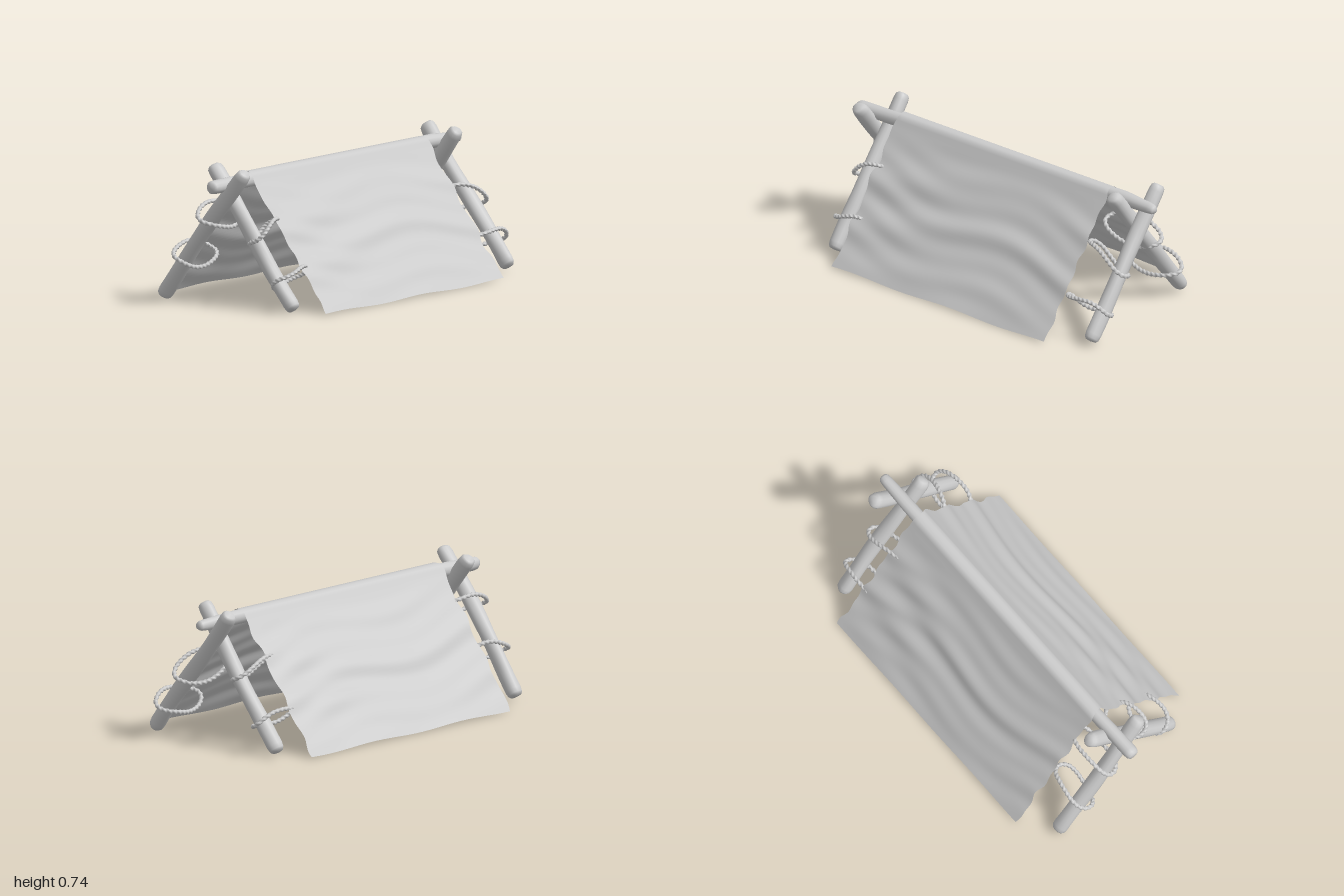
import * as THREE from 'three';
import { mergeVertices } from 'three/addons/utils/BufferGeometryUtils.js';

const material = new THREE.MeshStandardMaterial({ color: 0xcccccc, roughness: 0.9 });
const clothMaterial = new THREE.MeshStandardMaterial({ color: 0xcccccc, roughness: 1, side: THREE.DoubleSide });

// Rough-hewn log between two points, with worn ends and a slight bend
function makeLog(name, from, to, radius, seed, tipScale = 1) {
  const length = from.distanceTo(to);
  const profile = [[0, 0], [0.7, 0.004], [0.92, 0.016], [1, 0.04]];
  for (let i = 1; i < 12; i++) profile.push([1, 0.04 + (length - 0.08) * i / 12]);
  profile.push([tipScale, length - 0.04], [0.9 * tipScale, length - 0.014], [0.65 * tipScale, length - 0.003], [0, length]);
  const geometry = new THREE.LatheGeometry(profile.map(([r, y]) => new THREE.Vector2(r * radius, y)), 14);
  const p = geometry.attributes.position;
  for (let i = 0; i < p.count; i++) {
    const x = p.getX(i), y = p.getY(i), z = p.getZ(i);
    const a = Math.hypot(x, z) > 1e-6 ? Math.atan2(z, x) : 0;
    const k = 1 + 0.05 * Math.sin(3 * a + 7 * y + seed) + 0.04 * Math.sin(2 * a - 13 * y + seed * 2);
    const bend = 0.004 * Math.sin(6 * y + seed);
    p.setXYZ(i, x * k + bend, y, z * k - bend);
  }
  geometry.deleteAttribute('uv');
  geometry.deleteAttribute('normal');
  const welded = mergeVertices(geometry, 1e-5);
  welded.computeVertexNormals();
  const mesh = new THREE.Mesh(welded, material);
  mesh.name = name;
  mesh.position.copy(from);
  mesh.quaternion.setFromUnitVectors(new THREE.Vector3(0, 1, 0), to.clone().sub(from).normalize());
  return mesh;
}

// Twisted rope loop around a leg and through the cloth
function makeRope(name, side, cx, cy, half, z, zHalf, skew) {
  const points = [];
  for (let i = 0; i < 14; i++) {
    const a = i / 14 * Math.PI * 2;
    const across = half * Math.cos(a);
    const along = skew * Math.sin(a) + 0.008 * Math.sin(3 * a + cx * 9);
    points.push(new THREE.Vector3(
      side * (cx + 0.79 * across - 0.61 * along),
      cy + 0.61 * across + 0.79 * along,
      z + zHalf * Math.sin(a)));
  }
  const curve = new THREE.CatmullRomCurve3(points, true);
  const steps = 180, sides = 8, radius = 0.0105;
  const geometry = new THREE.TubeGeometry(curve, steps, radius, sides, true);
  const p = geometry.attributes.position, n = geometry.attributes.normal;
  for (let i = 0; i < p.count; i++) {
    const turn = Math.floor(i / (sides + 1)) / steps * 28;
    const around = (i % (sides + 1)) / sides;
    const bump = radius * 0.22 * Math.cos(2 * Math.PI * (2 * around + turn));
    p.setXYZ(i, p.getX(i) + n.getX(i) * bump, p.getY(i) + n.getY(i) * bump, p.getZ(i) + n.getZ(i) * bump);
  }
  geometry.computeVertexNormals();
  const mesh = new THREE.Mesh(geometry, material);
  mesh.name = name;
  return mesh;
}

// Cloth draped over the ridge, with soft folds and ragged ends
function makeCloth() {
  const half = [[0.03, 0.688], [0.052, 0.655], [0.095, 0.59], [0.18, 0.482], [0.3, 0.326], [0.42, 0.168], [0.543, 0.01]];
  const profile = new THREE.CatmullRomCurve3([
    ...half.slice().reverse().map(([x, y]) => new THREE.Vector3(-x, y, 0)),
    new THREE.Vector3(0, 0.694, 0),
    ...half.map(([x, y]) => new THREE.Vector3(x, y, 0)),
  ]);
  const columns = 96, rows = 48;
  const geometry = new THREE.PlaneGeometry(1, 1, columns, rows);
  const p = geometry.attributes.position;
  for (let i = 0; i < p.count; i++) {
    const u = p.getX(i) + 0.5, v = p.getY(i) * 2;
    const s = Math.abs(u - 0.5) * 2, side = Math.sign(u - 0.5);
    const c = profile.getPointAt(u);
    const fade = Math.sin(Math.PI * THREE.MathUtils.clamp((s - 0.1) / 0.9, 0, 1));
    const fold = fade * (0.006 * Math.sin(21 * s + 2.2 * Math.sin(2.3 * v + side) + side)
      + 0.004 * Math.sin(38 * s - 3 * v + 2 * Math.sin(4 * v)));
    const edge = 0.71 + 0.007 * Math.sin(u * 47 + v) + 0.004 * Math.sin(u * 83);
    const hem = s > 0.9 ? (s - 0.9) * 0.05 * Math.sin(7 * v + side) : 0;
    p.setXYZ(i, c.x + side * 0.79 * fold, c.y + 0.61 * fold + hem, -v * edge);
  }
  geometry.computeVertexNormals();
  const mesh = new THREE.Mesh(geometry, clothMaterial);
  mesh.name = 'cloth';
  return mesh;
}

export function createModel() {
  const group = new THREE.Group();
  group.name = 'tent';

  // Ridge pole, narrower at the back tip
  group.add(makeLog('ridgePole', new THREE.Vector3(0, 0.648, 1), new THREE.Vector3(0, 0.655, -1), 0.037, 1, 0.8));

  // Crossed legs: [name, side of foot, z]
  const legs = [
    ['frontRightLeg', -1, 0.885], ['frontLeftLeg', 1, 0.81],
    ['backRightLeg', -1, -0.832], ['backLeftLeg', 1, -0.908],
  ];
  legs.forEach(([name, side, z], i) => group.add(makeLog(name,
    new THREE.Vector3(side * 0.41, 0.03, z), new THREE.Vector3(side * -0.138, 0.725, z), 0.041, i * 1.7 + 2)));

  group.add(makeCloth());

  // Ropes: [name, side, x, y, half width, z, half length, skew along the leg]
  const ropes = [
    ['frontRightUpperRope', -1, 0.09, 0.475, 0.09, 0.8, 0.15, -0.015],
    ['frontRightLowerRope', -1, 0.245, 0.255, 0.085, 0.82, 0.135, -0.02],
    ['frontLeftUpperRope', 1, 0.155, 0.405, 0.09, 0.755, 0.1, -0.045],
    ['frontLeftLowerRope', 1, 0.32, 0.18, 0.085, 0.74, 0.12, -0.015],
    ['backRightUpperRope', -1, 0.14, 0.415, 0.08, -0.735, 0.16, 0.04],
    ['backRightLowerRope', -1, 0.305, 0.185, 0.08, -0.74, 0.16, 0.015],
    ['backLeftUpperRope', 1, 0.16, 0.385, 0.09, -0.825, 0.14, 0.06],
    ['backLeftLowerRope', 1, 0.32, 0.18, 0.085, -0.83, 0.14, 0.01],
  ];
  for (const rope of ropes) group.add(makeRope(...rope));

  return group;
}
